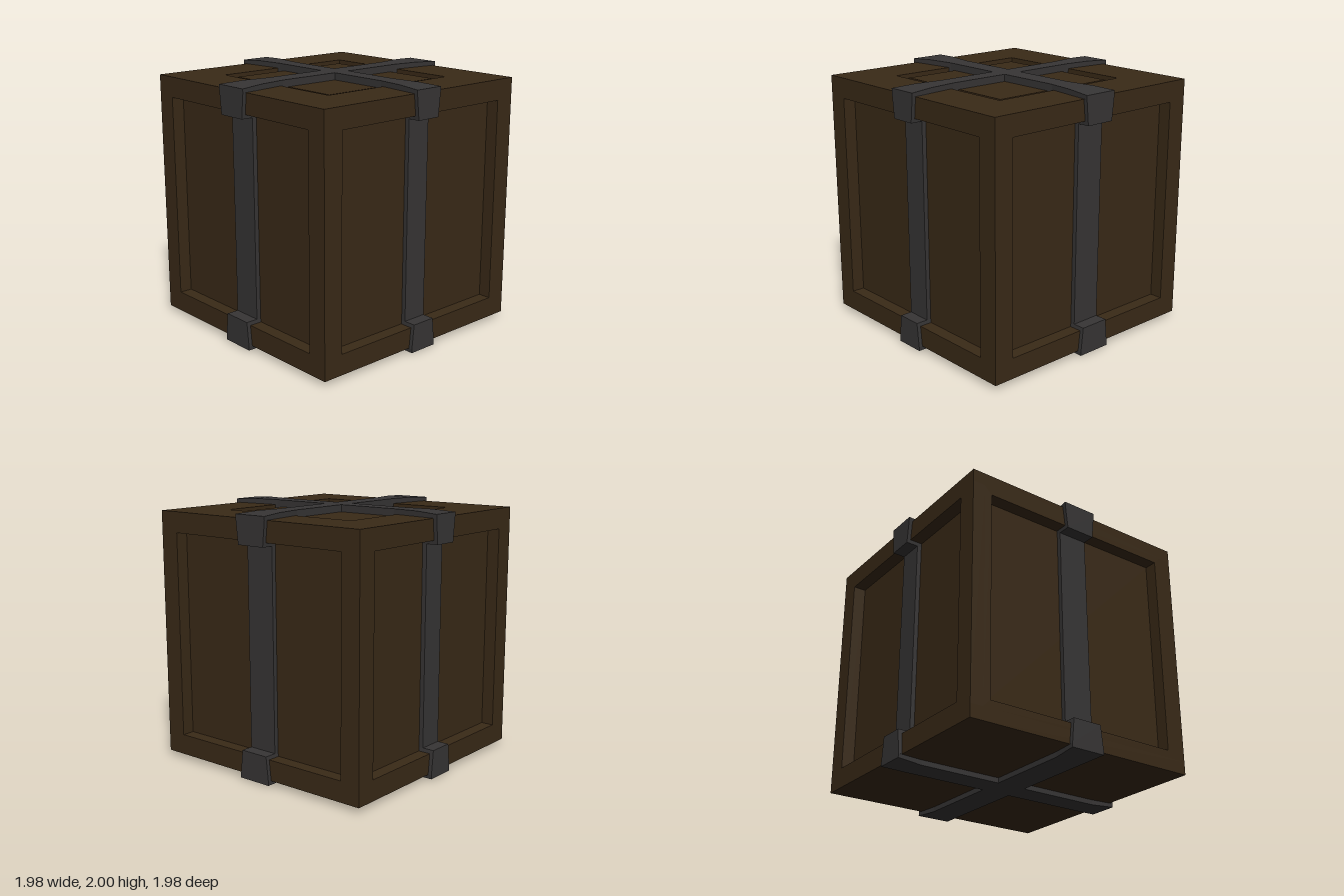
import * as THREE from 'three';

const wood = new THREE.MeshStandardMaterial({ color: 0x3a2a17 });
const iron = new THREE.MeshStandardMaterial({ color: 0x373535 });

// Solid lofted along z; each section is [z, halfWidth, low, high]
function loft(sections) {
  const pos = [];
  const rings = sections.map(([z, w, lo, hi]) =>
    [[-w, lo, z], [w, lo, z], [w, hi, z], [-w, hi, z]]);
  const quad = (a, b, c, d) => pos.push(...a, ...b, ...c, ...a, ...c, ...d);
  for (let i = 0; i < rings.length - 1; i++) {
    const p = rings[i], q = rings[i + 1];
    for (let j = 0; j < 4; j++) {
      const k = (j + 1) % 4;
      quad(p[j], p[k], q[k], q[j]);
    }
  }
  const first = rings[0], last = rings[rings.length - 1];
  quad(first[3], first[2], first[1], first[0]);
  quad(...last);
  const geo = new THREE.BufferGeometry();
  geo.setAttribute('position', new THREE.Float32BufferAttribute(pos, 3));
  geo.computeVertexNormals();
  return geo;
}

// Flat board in the xy plane with an optional square opening
function board(halfW, halfH, hole, depth) {
  const rect = (C, w, h) => {
    const s = new C();
    s.moveTo(-w, -h);
    s.lineTo(w, -h);
    s.lineTo(w, h);
    s.lineTo(-w, h);
    s.closePath();
    return s;
  };
  const shape = rect(THREE.Shape, halfW, halfH);
  if (hole) shape.holes.push(rect(THREE.Path, hole, hole));
  return new THREE.ExtrudeGeometry(shape, { depth, bevelEnabled: false });
}

export function createModel() {
  const group = new THREE.Group();
  const add = (name, geo, mat) => {
    const mesh = new THREE.Mesh(geo, mat);
    mesh.name = name;
    group.add(mesh);
    return mesh;
  };

  // Crate body: inner panels, lid and base
  add('innerPanels', new THREE.BoxGeometry(1.72, 1.72, 1.72), wood).position.y = 1;
  add('lidFrame', board(0.96, 0.96, 0.6, 0.1).rotateX(-Math.PI / 2), wood).position.y = 1.86;
  add('lidGroove', new THREE.BoxGeometry(1.2, 0.07, 1.2), wood).position.y = 1.89;
  add('lidPanel', new THREE.BoxGeometry(1.06, 0.09, 1.06), wood).position.y = 1.9;
  add('base', new THREE.BoxGeometry(1.92, 0.1, 1.92), wood).position.y = 0.09;

  for (let k = 0; k < 4; k++) {
    const turn = k * Math.PI / 2;
    const onX = k % 2 === 1;
    const w = onX ? 0.12 : 0.1;
    const wEnd = onX ? 0.14 : 0.12;

    // Raised frame around each recessed side panel
    const frame = board(onX ? 0.86 : 0.96, 0.86, 0.8, 0.1);
    frame.translate(0, 1, 0.86).rotateY(turn);
    add('sideFrame', frame, wood);

    // Upright strap set in the recess, with flared corner brackets
    const upright = loft([
      [-1.96, wEnd, 0.85, 0.99], [-1.77, w, 0.85, 0.99],
      [-1.77, w, 0.85, 0.895], [-0.23, w, 0.85, 0.895],
      [-0.23, w, 0.85, 0.99], [-0.04, wEnd, 0.85, 0.99],
    ]);
    add('sideStrap', upright.rotateX(Math.PI / 2).rotateY(turn), iron);

    // Lid strap arm, flaring toward the edge
    const lidArm = loft([
      [onX ? 0 : 0.08, onX ? 0.08 : 0.07, 1.92, 2],
      [0.58, onX ? 0.08 : 0.07, 1.92, 2],
      [0.8, onX ? 0.113 : 0.097, 1.96, 2],
      [0.99, wEnd, 1.96, 1.99],
    ]);
    add('lidStrap', lidArm.rotateY(turn), iron);

    // Base strap arm
    const baseArm = loft([
      [onX ? 0 : 0.12, w, -0.04, 0],
      [0.79, w, -0.04, 0],
      [0.99, wEnd, -0.04, -0.01],
    ]);
    add('baseStrap', baseArm.rotateZ(Math.PI).rotateY(turn), iron);
  }
  return group;
}
